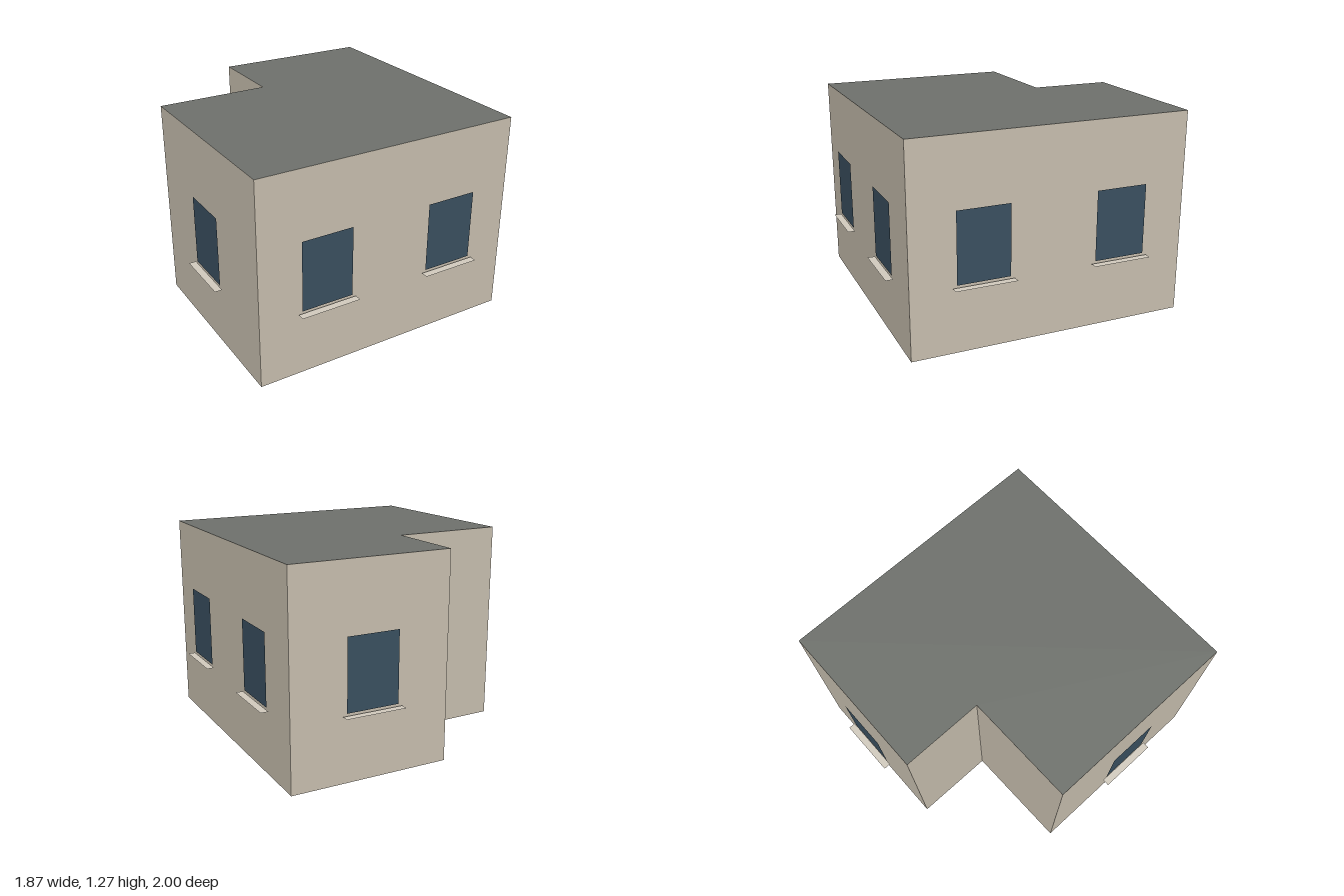
import * as THREE from 'three';

const HEIGHT = 1.27;
const WINDOW = { width: 0.325, bottom: 0.42, top: 0.855, offset: 0.016 };
const SILL = { width: 0.375, depth: 0.045, y: 0.405 };

// Footprint corners [x, z], walked front, right, back, notch, left;
// openings are window positions as fractions along the wall that starts at the corner.
const WALLS = [
  { name: 'frontWall', at: [-0.775, 0.965], openings: [0.25, 0.75] },
  { name: 'rightwardWall', at: [0.9, 0.75], openings: [0.25, 0.75] },
  { name: 'backWall', at: [0.685, -0.975], openings: [0.5] },
  { name: 'notchSideWall', at: [-0.3, -0.865], openings: [] },
  { name: 'notchBackWall', at: [-0.238, -0.355], openings: [] },
  { name: 'oppositeSideWall', at: [-0.93, -0.265], openings: [0.5] },
];

const paint = (color, side = THREE.FrontSide) => new THREE.MeshStandardMaterial({ color, side });

function addMesh(parent, name, geometry, material, x = 0, y = 0, z = 0) {
  const mesh = new THREE.Mesh(geometry, material);
  mesh.name = name;
  mesh.position.set(x, y, z);
  parent.add(mesh);
  return mesh;
}

export function createModel() {
  const model = new THREE.Group();
  model.name = 'house';
  const wallPaint = paint(0xc8bfaf);
  const roofPaint = paint(0x6e716c);
  const glass = paint(0x3a5060, THREE.DoubleSide);
  const stone = paint(0xd2cbbe, THREE.DoubleSide);

  // Flat roof and floor share the L-shaped footprint
  const footprint = new THREE.Shape(WALLS.map(({ at: [x, z] }) => new THREE.Vector2(x, -z)));
  const slab = new THREE.ShapeGeometry(footprint).rotateX(-Math.PI / 2);
  addMesh(model, 'roof', slab, roofPaint, 0, HEIGHT, 0);
  const underside = paint(0x6e716c, THREE.BackSide);
  addMesh(model, 'floor', slab, underside);

  const windowHeight = WINDOW.top - WINDOW.bottom;
  const pane = new THREE.PlaneGeometry(WINDOW.width, windowHeight);
  const ledge = new THREE.PlaneGeometry(SILL.width, SILL.depth).rotateX(-Math.PI / 2);

  // Each wall is a group whose local x runs along the wall and local z points outward
  WALLS.forEach(({ name, at: [x, z], openings }, i) => {
    const [nextX, nextZ] = WALLS[(i + 1) % WALLS.length].at;
    const length = Math.hypot(nextX - x, nextZ - z);
    const side = new THREE.Group();
    side.name = name;
    side.position.set(x, 0, z);
    side.rotation.y = Math.atan2(z - nextZ, nextX - x);
    model.add(side);

    addMesh(side, 'wall', new THREE.PlaneGeometry(length, HEIGHT), wallPaint, length / 2, HEIGHT / 2, 0);

    // Window panes with thin sills below
    for (const t of openings) {
      addMesh(side, 'windowPane', pane, glass, t * length, WINDOW.bottom + windowHeight / 2, WINDOW.offset);
      addMesh(side, 'windowSill', ledge, stone, t * length, SILL.y, WINDOW.offset + SILL.depth / 2);
    }
  });

  return model;
}
